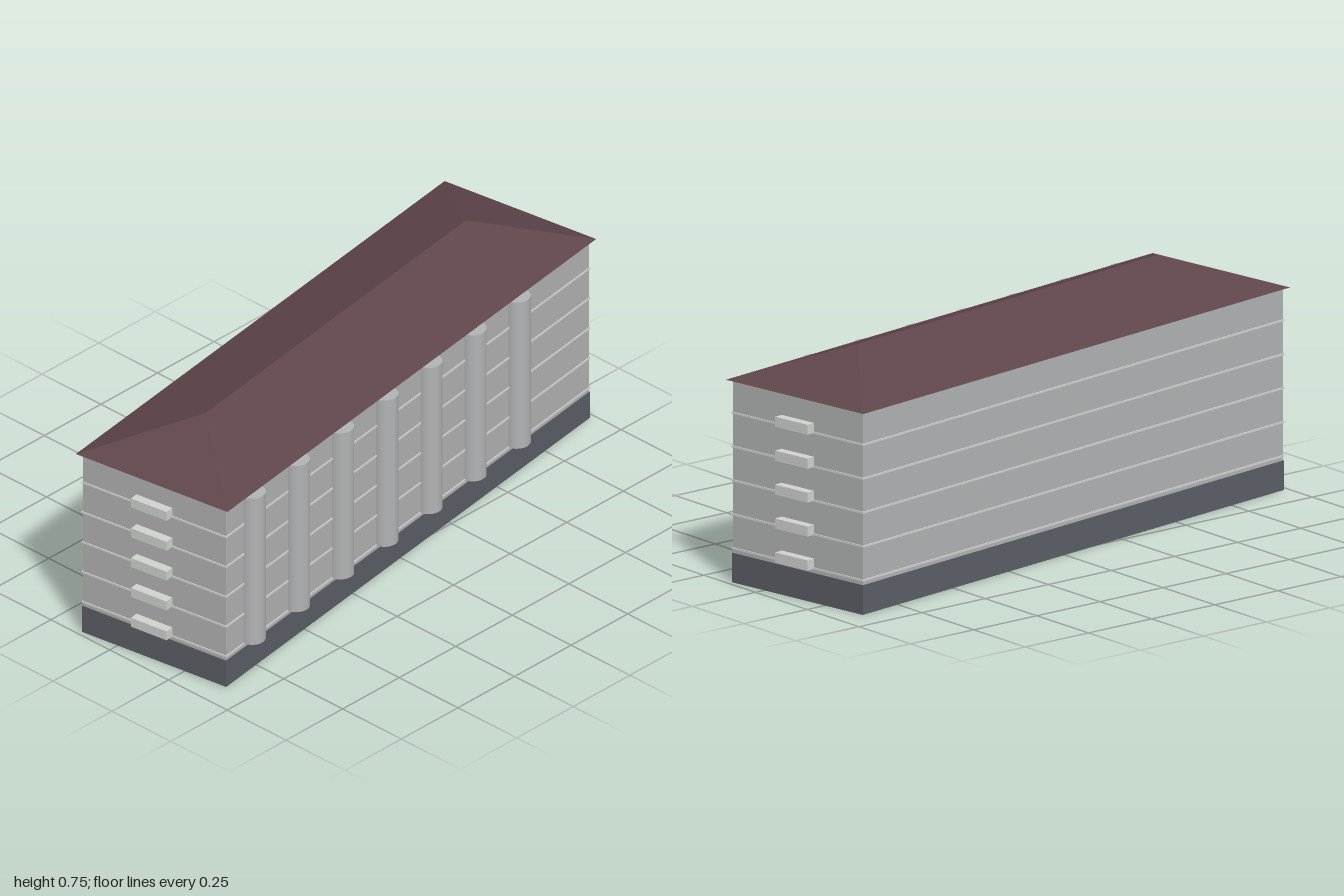
import * as THREE from 'three';

const mat = (name, color, side = THREE.FrontSide) =>
  new THREE.MeshStandardMaterial({ name, color, side });

// half length and half width of the walls
const A = 0.953, B = 0.27;

export function createModel() {
  const wallGrey = mat('wallGrey', 0xb2b3b4, THREE.DoubleSide);
  const plinthGrey = mat('plinthGrey', 0x5b5e66);
  const roofRed = mat('roofRed', 0x5f454a);
  const paleTrim = mat('paleTrim', 0xd0d2d0);

  const building = new THREE.Group();
  building.name = 'building';
  const add = (name, geometry, material, x = 0, y = 0, z = 0) => {
    const mesh = new THREE.Mesh(geometry, material);
    mesh.name = name;
    mesh.position.set(x, y, z);
    building.add(mesh);
    return mesh;
  };

  // four upright sides of a box, open above and below
  const shell = (a, b, h) => {
    const g = new THREE.BoxGeometry(2 * a, h, 2 * b);
    const i = Array.from(g.index.array);
    g.setIndex([...i.slice(0, 12), ...i.slice(24)]);
    g.clearGroups();
    return g;
  };

  // flat rectangular ring running round the walls
  const ring = (out, h) => {
    const rect = (S, a, b) => new S([[-a, -b], [a, -b], [a, b], [-a, b]]
      .map(([x, y]) => new THREE.Vector2(x, y)));
    const s = rect(THREE.Shape, A + out, B + out);
    s.holes.push(rect(THREE.Path, A, B));
    return new THREE.ExtrudeGeometry(s, { depth: h, bevelEnabled: false })
      .rotateX(-Math.PI / 2);
  };

  // hollow walls and dark plinth
  add('walls', shell(A, B, 0.645), wallGrey, 0, 0.3225);
  add('plinth', ring(0.002, 0.094), plinthGrey);

  // storey bands and end ledges
  const bandGeo = ring(0.003, 0.006);
  const ledgeGeo = new THREE.BoxGeometry(0.06, 0.032, 0.135);
  for (let i = 0; i < 5; i++) {
    const y = 0.106 + i * 0.108;
    add('storeyBand', bandGeo, paleTrim, 0, y, 0);
    for (const side of [-1, 1]) add('endLedge', ledgeGeo, paleTrim, side * A, y + 0.018, 0);
  }

  // round columns half sunk into the front wall
  const columnGeo = new THREE.CylinderGeometry(0.043, 0.043, 0.529, 24);
  for (let i = 0; i < 7; i++) add('column', columnGeo, wallGrey, -0.817 + i * 0.2318, 0.3725, B);

  // hipped roof with a flat underside
  const ra = 0.968, rb = 0.286, r = 0.682, e = 0.645, t = 0.754;
  const p = [[-ra, e, rb], [ra, e, rb], [ra, e, -rb], [-ra, e, -rb], [-r, t, 0], [r, t, 0]];
  const faces = [0, 1, 5, 0, 5, 4, 1, 2, 5, 2, 3, 4, 2, 4, 5, 3, 0, 4, 0, 3, 2, 0, 2, 1];
  const roof = new THREE.BufferGeometry();
  roof.setAttribute('position',
    new THREE.Float32BufferAttribute(faces.flatMap((i) => p[i]), 3));
  roof.computeVertexNormals();
  add('roof', roof, roofRed);

  // the block stands at a slight angle
  building.rotation.y = 0.143;
  const model = new THREE.Group();
  model.name = 'apartmentBlock';
  model.add(building);
  return model;
}
